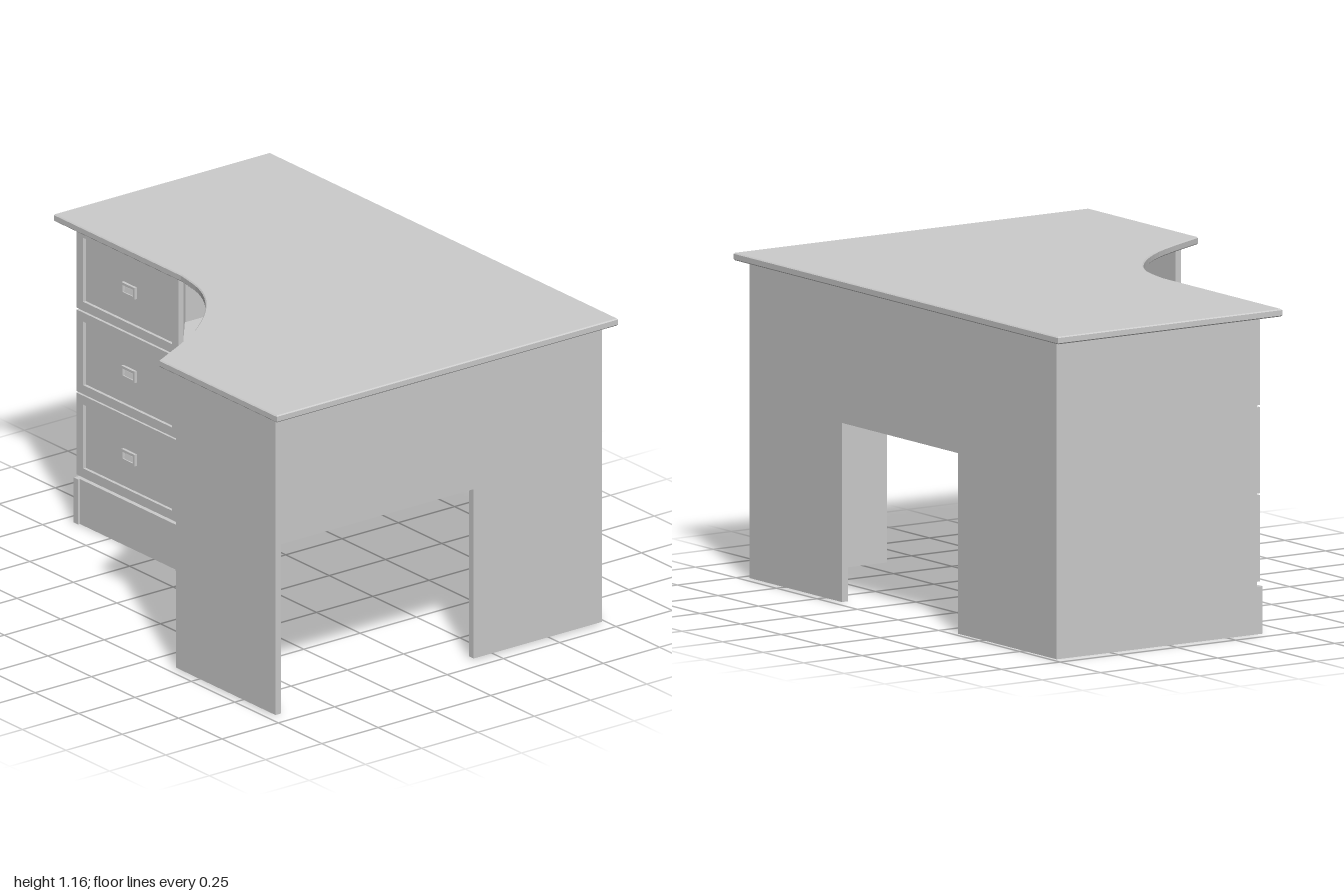
import * as THREE from 'three';

const material = new THREE.MeshStandardMaterial({ color: 0xcccccc, flatShading: true, side: THREE.DoubleSide });

function add(parent, geometry, name) {
  const mesh = new THREE.Mesh(geometry, material);
  mesh.name = name;
  parent.add(mesh);
  return mesh;
}

// Box given by its lower and upper limits on each axis
function block(parent, name, x0, x1, y0, y1, z0, z1) {
  const mesh = add(parent, new THREE.BoxGeometry(x1 - x0, y1 - y0, z1 - z0), name);
  mesh.position.set((x0 + x1) / 2, (y0 + y1) / 2, (z0 + z1) / 2);
  return mesh;
}

const polygon = (points) => new THREE.Shape(points.map(([x, y]) => new THREE.Vector2(x, y)));
const rectangle = (w, h) => [[-w / 2, -h / 2], [w / 2, -h / 2], [w / 2, h / 2], [-w / 2, h / 2]];
const extrude = (shape, depth, options = {}) =>
  new THREE.ExtrudeGeometry(shape, { depth, bevelEnabled: false, ...options });

// Upright rectangular frame facing +z
function frame(w, h, innerW, innerH, depth) {
  const shape = polygon(rectangle(w, h));
  shape.holes.push(polygon(rectangle(innerW, innerH).reverse()));
  return extrude(shape, depth);
}

// Horizontal board from an (x, z) outline, its upper face at y = top
function board(parent, name, outline, top, thickness, bevel = 0) {
  const geometry = extrude(polygon(outline), thickness - 2 * bevel, {
    bevelEnabled: bevel > 0, bevelThickness: bevel, bevelSize: bevel, bevelOffset: -bevel, bevelSegments: 1,
  });
  geometry.rotateX(Math.PI / 2);
  geometry.translate(0, top - bevel, 0);
  return add(parent, geometry, name);
}

// Drawer front with a sunken field and a small recessed pull
function drawer(y0, y1) {
  const group = new THREE.Group();
  group.name = 'drawer';
  const w = 0.585, h = y1 - y0, fieldW = 0.51, fieldH = h - 0.068;
  add(group, frame(w, h, fieldW, fieldH, 0.025), 'drawerFrame').position.z = 0.122;
  block(group, 'drawerField', -fieldW / 2, fieldW / 2, -fieldH / 2, fieldH / 2, 0.12, 0.135);
  const pull = new THREE.Group();
  pull.name = 'pull';
  add(pull, frame(0.075, 0.044, 0.058, 0.026, 0.011), 'pullFrame');
  const lip = block(pull, 'pullLip', -0.025, 0.029, -0.013, 0.006, 0.002, 0.005);
  lip.rotation.x = -0.25;
  pull.position.z = 0.135;
  group.add(pull);
  group.position.set(-0.645, (y0 + y1) / 2, 0);
  return group;
}

export function createModel() {
  const desk = new THREE.Group();
  desk.name = 'cornerDesk';
  const under = 1.127, left = 0.945, back = -0.73;

  // Worktop with the concave sitting edge
  const curve = new THREE.SplineCurve(
    [[0.25, 0.61], [0.18, 0.49], [0.09, 0.38], [0, 0.3], [-0.08, 0.25], [-0.16, 0.22], [-0.27, 0.2]]
      .map(([x, z]) => new THREE.Vector2(x, z)));
  board(desk, 'worktop', [
    [-1, -0.76], [1, -0.76], [1, 0.757], [0.325, 0.757],
    ...curve.getPoints(18).map((p) => [p.x, p.y]), [-1, 0.2],
  ], 1.162, 0.027, 0.004);

  // Corner shelf with a diagonal front
  board(desk, 'cornerShelf', [
    [-0.325, -0.705], [0.92, -0.705], [0.92, 0.685], [0.337, 0.685], [-0.325, 0.14],
  ], 0.95, 0.024);

  // Back and side panels, each cut away beside a floor-length leg
  const backPanel = polygon([[-0.34, 0.645], [0.375, 0.645], [0.375, 0.005], [left, 0.005], [left, under], [-0.34, under]]);
  add(desk, extrude(backPanel, 0.025), 'backPanel').position.z = back;
  const sidePanel = polygon([[-0.695, 0.645], [0.16, 0.645], [0.16, 0.005], [0.705, 0.005], [0.705, under], [-0.695, under]]);
  const side = add(desk, extrude(sidePanel, 0.025), 'sidePanel');
  side.rotation.y = Math.PI / 2;
  side.position.x = left - 0.025;
  block(desk, 'frontLegPanel', 0.375, left, 0.005, under, 0.695, 0.72);

  // Drawer pedestal
  const pedestal = new THREE.Group();
  pedestal.name = 'drawerPedestal';
  desk.add(pedestal);
  block(pedestal, 'pedestalBody', -0.95, -0.34, 0, under, back, 0.125);
  block(pedestal, 'plinth', -0.925, -0.365, 0, 0.17, 0.12, 0.142);
  for (const x of [-0.95, -0.365]) block(pedestal, 'plinthPost', x, x + 0.025, 0, 0.17, 0.12, 0.15);
  for (const [y0, y1] of [[0.185, 0.494], [0.5, 0.808], [0.815, 1.125]]) pedestal.add(drawer(y0, y1));

  return desk;
}
